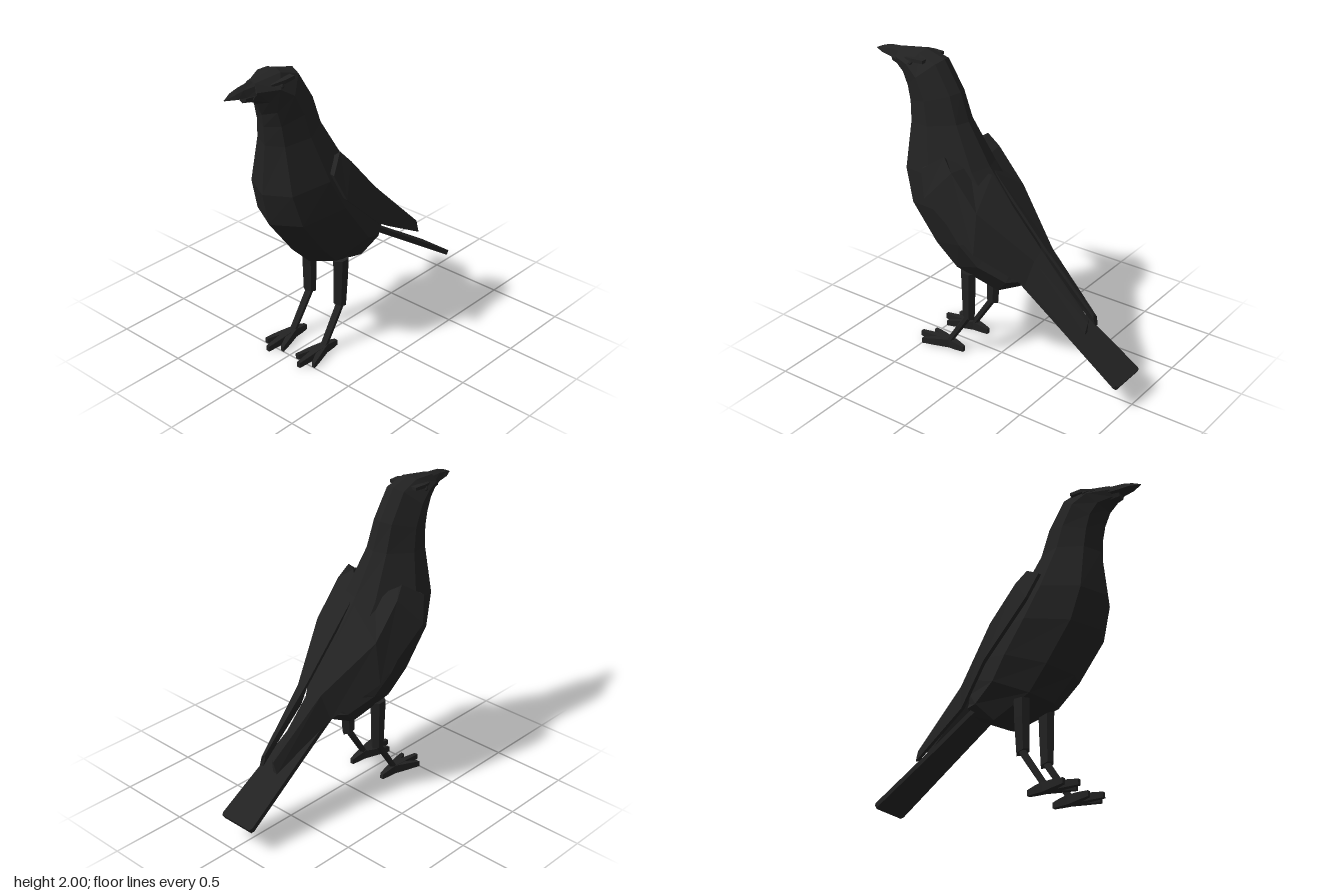
import * as THREE from 'three';

const plumage = new THREE.MeshStandardMaterial({ color: 0x222222, flatShading: true });
plumage.name = 'black plumage';

// Skin closed cross-sections (arrays of [x, y, z]) into a capped, outward-facing solid
function loft(rings) {
  const tris = [];
  const n = rings[0].length;
  for (let r = 0; r < rings.length - 1; r++) {
    for (let i = 0; i < n; i++) {
      const j = (i + 1) % n;
      const a = rings[r][i], b = rings[r][j], c = rings[r + 1][j], d = rings[r + 1][i];
      tris.push([a, b, c], [a, c, d]);
    }
  }
  const first = rings[0], last = rings[rings.length - 1];
  for (let i = 1; i < n - 1; i++) {
    tris.push([first[0], first[i + 1], first[i]], [last[0], last[i], last[i + 1]]);
  }
  // A negative volume means the faces point inward
  let volume = 0;
  const [a, b, c] = [new THREE.Vector3(), new THREE.Vector3(), new THREE.Vector3()];
  for (const t of tris) {
    volume += a.fromArray(t[0]).dot(b.fromArray(t[1]).cross(c.fromArray(t[2])));
  }
  const ordered = volume < 0 ? tris.map(([p, q, s]) => [p, s, q]) : tris;
  const geometry = new THREE.BufferGeometry();
  geometry.setAttribute('position', new THREE.Float32BufferAttribute(ordered.flat(2), 3));
  geometry.computeVertexNormals();
  return geometry;
}

function part(name, geometry, parent) {
  const mesh = new THREE.Mesh(geometry, plumage);
  mesh.name = name;
  parent.add(mesh);
  return mesh;
}

// Ring from its upper and lower centre points, half width and [position, width] profile
function ring([tz, ty, bz, by, w], profile) {
  const point = ([t, k], s) => [s * k * w, ty + (by - ty) * t, tz + (bz - tz) * t];
  return [
    ...profile.map((p) => point(p, 1)),
    ...profile.slice(1, -1).reverse().map((p) => point(p, -1)),
  ];
}

// Box section centred on x, y, z, with half sizes in x and y
const rect = (x, y, z, w, h) => [[x - w, y - h, z], [x + w, y - h, z], [x + w, y + h, z], [x - w, y + h, z]];

// Horizontal six-sided section
function hexagon(x, y, z, rx, rz, tilt = 0) {
  return Array.from({ length: 6 }, (_, i) => {
    const a = (i * Math.PI) / 3 + Math.PI / 6;
    return [x + rx * Math.cos(a), y + tilt * Math.sin(a), z + rz * Math.sin(a)];
  });
}

export function createModel() {
  const bird = new THREE.Group();
  bird.name = 'bird';

  // Head, neck and body: upper z, y, lower z, y, half width
  const bodyProfile = [[0, 0], [0.08, 0.5], [0.48, 1], [0.87, 0.68], [1, 0]];
  const bodyRings = [
    [0.76, 1.975, 0.79, 1.86, 0.06],
    [0.57, 2.0, 0.72, 1.82, 0.115],
    [0.43, 1.96, 0.685, 1.74, 0.138],
    [0.31, 1.77, 0.675, 1.66, 0.147],
    [0.25, 1.59, 0.67, 1.54, 0.165],
    [0.09, 1.33, 0.7, 1.23, 0.25],
    [-0.06, 1.14, 0.65, 1.01, 0.28],
    [-0.17, 0.99, 0.46, 0.76, 0.27],
    [-0.25, 0.87, 0.31, 0.61, 0.235],
    [-0.28, 0.8, -0.02, 0.51, 0.17],
    [-0.3, 0.74, -0.23, 0.615, 0.1],
  ];
  part('body', loft(bodyRings.map((r) => ring(r, bodyProfile))), bird);

  // Beak
  const beakProfile = [[0, 0], [0.25, 0.6], [0.8, 1], [1, 0]];
  part('upperBeak', loft([
    [0.7, 1.98, 0.7, 1.88, 0.075],
    [0.85, 1.968, 0.83, 1.893, 0.045],
    [0.91, 1.95, 0.9, 1.905, 0.036],
    [0.97, 1.922, 0.97, 1.918, 0.003],
  ].map((r) => ring(r, beakProfile))), bird);
  part('lowerBeak', loft([
    [0.7, 1.9, 0.7, 1.83, 0.06],
    [0.83, 1.9, 0.83, 1.86, 0.03],
  ].map((r) => ring(r, [[0, 0], [0.1, 1], [0.7, 0.8], [1, 0]]))), bird);

  // Flat tail, widening to the end
  const tailRings = [[-0.2, 0.67, 0.1], [-0.5, 0.47, 0.11], [-0.945, 0.176, 0.13], [-0.96, 0.167, 0.12]];
  part('tail', loft(tailRings.map(([z, y, w]) => [
    [-w, y + 0.014, z + 0.008 - 0.016], [w, y + 0.014, z + 0.008 - 0.016],
    [w, y - 0.014, z + 0.008], [-w, y - 0.014, z + 0.008],
  ])), bird);

  for (const [side, s] of [['left', 1], ['right', -1]]) {
    const mirror = (rings) => rings.map((r) => r.map(([x, y, z]) => [s * x, y, z]));

    // Folded wing: inner edge, shoulder ridge and outer edge from shoulder to tip
    const wing = [
      [[0.19, 1.4, 0.28], [0.225, 1.43, 0.27], [0.295, 1.34, 0.4]],
      [[0.09, 1.34, 0.18], [0.25, 1.35, 0.2], [0.345, 1.175, 0.34]],
      [[0.02, 1.29, 0.06], [0.25, 1.13, 0.01], [0.3, 0.865, 0.0]],
      [[0.02, 0.88, -0.32], [0.1, 0.84, -0.32], [0.145, 0.67, -0.28]],
      [[0.03, 0.52, -0.68], [0.05, 0.505, -0.69], [0.075, 0.43, -0.685]],
    ].map(([inner, ridge, outer]) => [
      inner, ridge, outer,
      [outer[0] - 0.03, outer[1] + 0.005, outer[2]],
      [inner[0], inner[1] - 0.03, inner[2]],
    ]);
    part(side + 'Wing', loft(mirror(wing)), bird);

    // Eye and brow
    const eye = part(side + 'Eye', new THREE.IcosahedronGeometry(0.018, 0), bird);
    eye.position.set(s * 0.1, 1.925, 0.62);
    part(side + 'Brow', loft(mirror([
      rect(0.085, 1.95, 0.52, 0.022, 0.01),
      rect(0.09, 1.948, 0.6, 0.022, 0.012),
      rect(0.07, 1.94, 0.68, 0.012, 0.006),
    ])), bird);

    // Leg
    const leg = new THREE.Group();
    leg.name = side + 'Leg';
    bird.add(leg);
    part('thigh', loft(mirror([
      hexagon(0.135, 0.62, 0.165, 0.046, 0.058),
      hexagon(0.135, 0.5, 0.165, 0.042, 0.055),
      hexagon(0.13, 0.285, 0.17, 0.038, 0.046, 0.015),
    ])), leg);
    part('shank', loft(mirror([
      hexagon(0.132, 0.3, 0.16, 0.027, 0.028),
      hexagon(0.135, 0.04, 0.33, 0.024, 0.025),
    ])), leg);

    // Toes: three forward and one back, tapering from the ankle
    const toes = [[0.135, 0.56], [0.205, 0.5], [0.065, 0.5], [0.135, 0.21]];
    for (const [x, z] of toes) {
      part('toe', loft(mirror([
        rect(0.135, 0.03, 0.32, 0.024, 0.03),
        rect((0.135 + x) / 2, 0.025, (0.32 + z) / 2, 0.02, 0.025),
        rect(x, 0.018, z, 0.012, 0.018),
      ])), leg);
    }
  }
  return bird;
}
